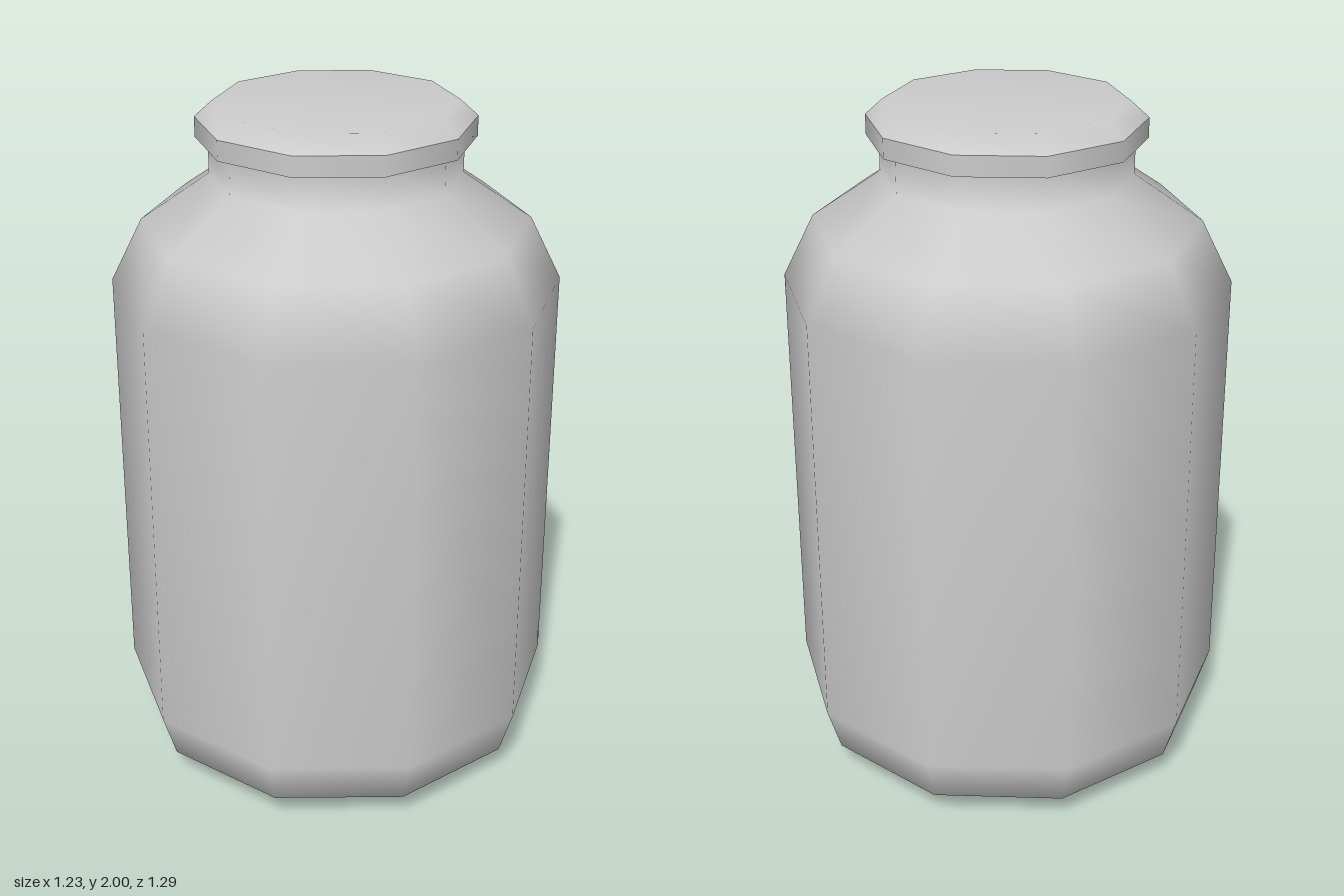
import * as THREE from 'three';

const SIDES = 10;
const material = new THREE.MeshStandardMaterial({ color: 0xcccccc });

// Ten-sided turned part from a bottom-to-top profile of [radius, y]
function turned(name, profile) {
  const points = profile.map(([r, y]) => new THREE.Vector2(r, y));
  const mesh = new THREE.Mesh(new THREE.LatheGeometry(points, SIDES), material);
  mesh.name = name;
  return mesh;
}

export function createModel() {
  const jar = new THREE.Group();
  jar.name = 'jar';

  // Base, wall, shoulder and neck as one smooth skin
  jar.add(turned('body', [
    [0, 0], [0.483, 0], [0.604, 0.09], [0.645, 0.227],
    [0.637, 1.485], [0.546, 1.665], [0.352, 1.797], [0.352, 1.9],
  ]));

  // Lid: separate bands keep the rim edges sharp
  const lid = new THREE.Group();
  lid.name = 'lid';
  lid.add(
    turned('lidUnderside', [[0, 1.899], [0.387, 1.899]]),
    turned('lidRim', [[0.387, 1.899], [0.387, 1.956]]),
    turned('lidTop', [[0.387, 1.956], [0.337, 2], [0, 2]]),
  );
  jar.add(lid);

  return jar;
}
